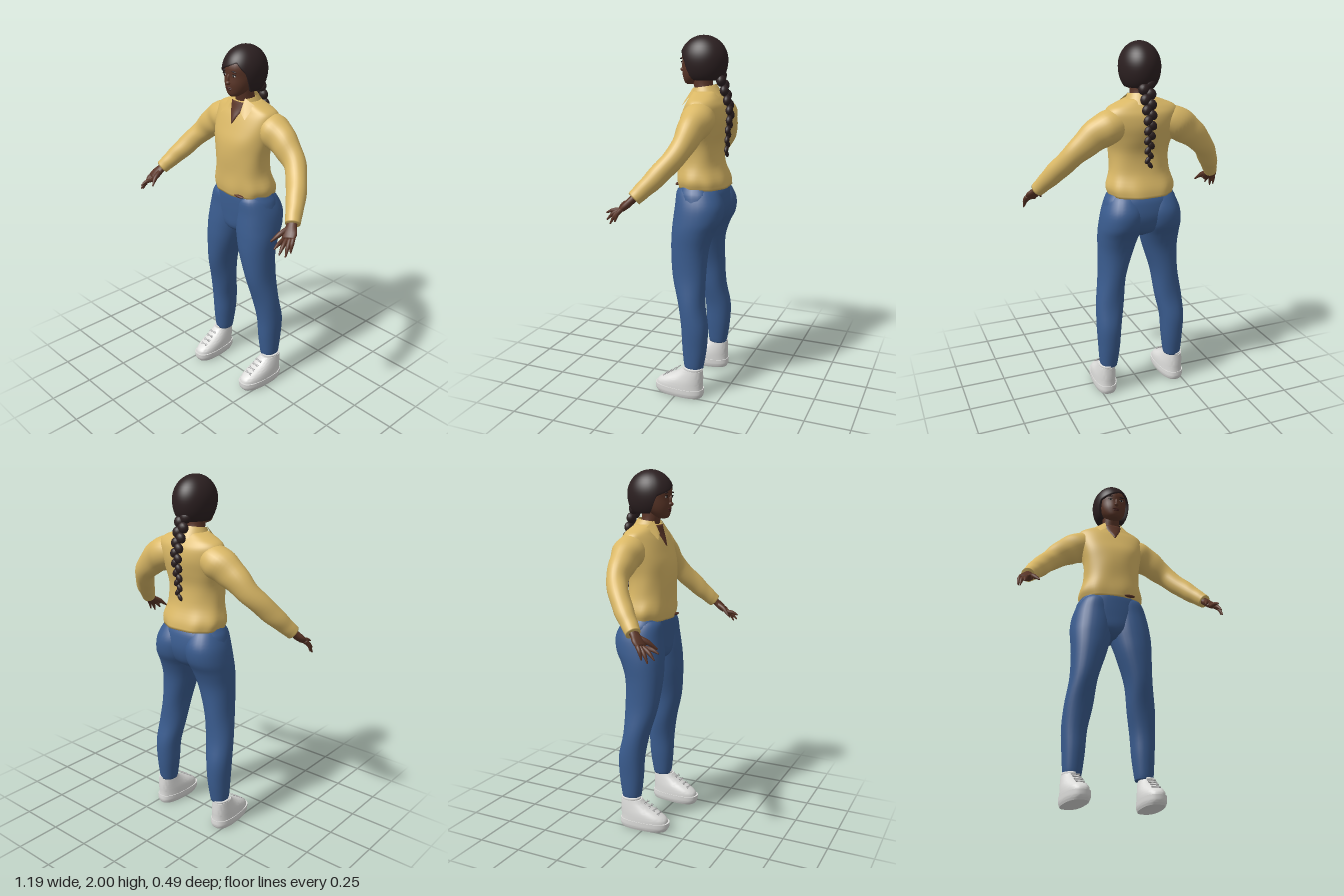
import * as THREE from 'three';
import { toCreasedNormals } from 'three/addons/utils/BufferGeometryUtils.js';

const mat = (name, color, side = THREE.FrontSide) => {
  const m = new THREE.MeshStandardMaterial({ color, side });
  m.name = name;
  return m;
};

// Skin over elliptical sections [x, y, z, radiusU, radiusV]. Without a width
// hint the rings stay level and the sections must run upwards.
function loft(sections, { seg = 28, rows = 4, n = 2, hint = null, wobble = () => 1 } = {}) {
  const curve = (f) => new THREE.CatmullRomCurve3(sections.map(f), false, 'catmullrom', 0.5);
  const path = curve((s) => new THREE.Vector3(s[0], s[1], s[2]));
  const radii = curve((s) => new THREE.Vector3(s[3], s[4], 0));
  const total = (sections.length - 1) * rows, pos = [], idx = [];
  const u = new THREE.Vector3(1, 0, 0), v = new THREE.Vector3(0, 0, 1);
  const pw = (c) => Math.sign(c) * Math.abs(c) ** (2 / n);
  for (let i = 0; i <= total; i++) {
    const p = path.getPoint(i / total), r = radii.getPoint(i / total);
    if (hint) {
      const d = path.getTangent(i / total);
      u.copy(hint).addScaledVector(d, -hint.dot(d)).normalize();
      v.crossVectors(u, d);
    }
    for (let j = 0; j < seg; j++) {
      const a = (j / seg) * Math.PI * 2, w = wobble(a, p.y, i / total);
      const q = p.clone().addScaledVector(u, pw(Math.cos(a)) * r.x * w)
        .addScaledVector(v, pw(Math.sin(a)) * r.y * w);
      pos.push(q.x, q.y, q.z);
      const k = i * seg + j, m = i * seg + ((j + 1) % seg);
      if (i < total) idx.push(k, k + seg, m, m, k + seg, m + seg);
    }
  }
  const c0 = (total + 1) * seg;
  pos.push(...path.getPoint(0).toArray(), ...path.getPoint(1).toArray());
  for (let j = 0; j < seg; j++) {
    const k = (j + 1) % seg, t = total * seg;
    idx.push(c0, j, k, c0 + 1, t + k, t + j);
  }
  return surface(pos, idx);
}

function surface(pos, idx) {
  const g = new THREE.BufferGeometry();
  g.setAttribute('position', new THREE.Float32BufferAttribute(pos, 3));
  g.setIndex(idx);
  g.computeVertexNormals();
  return g;
}

// Hair cap whose lower edge is a swept fringe in front and a bob behind
function hairCap() {
  const A = 96, R = 18, pos = [], idx = [], cy = 1.87, ry = 0.13;
  for (let i = 0; i <= R + 1; i++) {
    for (let j = 0; j < A; j++) {
      const a = (j / A) * Math.PI * 2 - Math.PI;
      const fringe = a < 0.5 ? 1.925 - 0.045 * (0.5 - a) : 1.925 - 0.13 * (a - 0.5);
      const back = THREE.MathUtils.smoothstep(Math.abs(a), 0.9, 1.25);
      const low = THREE.MathUtils.lerp(fringe, 1.768, back);
      const t = Math.acos((low - cy) / ry) * Math.min(i / R, 1);
      const s = Math.sin(t);
      let r = t > Math.PI / 2 ? s ** 0.65 : s;
      if (i > R) r *= THREE.MathUtils.lerp(0.9, 0.3, back);
      pos.push(0.11 * r * Math.sin(a), cy + ry * Math.cos(t) + (i > R ? 0.008 * back : 0),
        -0.07 + 0.132 * r * Math.cos(a));
      const k = i * A + j, m = i * A + ((j + 1) % A);
      if (i <= R) idx.push(k, k + A, m, m, k + A, m + A);
    }
  }
  return surface(pos, idx);
}

export function createModel() {
  const model = new THREE.Group();
  const skin = mat('brown skin', 0x5a3527), hair = mat('dark hair', 0x2c2021, THREE.DoubleSide);
  const shirt = mat('yellow shirt', 0xdab866, THREE.DoubleSide);
  const jeans = mat('blue jeans', 0x3a5c8f), white = mat('shoe white', 0xdcdcda);
  const lace = mat('lace grey', 0xb4b4b4), lip = mat('lip brown', 0x47231f);
  const eyeWhite = mat('eye white', 0xb9aca4), dark = mat('near black', 0x140d0c);
  const add = (name, geo, material, parent = model) => {
    const m = new THREE.Mesh(geo, material);
    m.name = name;
    parent.add(m);
    return m;
  };
  const ball = (name, material, p, s, rz = 0) => {
    const m = add(name, new THREE.SphereGeometry(1, 16, 12), material);
    m.position.set(...p);
    m.scale.set(...s);
    m.rotation.z = rz;
  };

  // Shirt body with a rumpled hem that flares out behind
  add('shirtBody', loft([
    [0, 1.19, -0.08, 0.176, 0.132], [0, 1.24, -0.073, 0.189, 0.132], [0, 1.32, -0.06, 0.167, 0.12],
    [0, 1.42, -0.055, 0.166, 0.119], [0, 1.5, -0.067, 0.182, 0.125], [0, 1.57, -0.085, 0.2, 0.12],
    [0, 1.63, -0.095, 0.202, 0.106], [0, 1.665, -0.095, 0.187, 0.088], [0, 1.69, -0.09, 0.135, 0.075],
    [0, 1.71, -0.085, 0.08, 0.065]], {
    seg: 64, n: 2.3,
    wobble: (a, y) => {
      const low = 1 - THREE.MathUtils.smoothstep(y, 1.19, 1.33), behind = Math.max(0, -Math.sin(a));
      return 1 + low * (0.02 * Math.sin(9 * a + 1) + 0.07 * behind ** 4)
        + 0.008 * Math.sin(5 * a + 22 * y) * (1 - low);
    },
  }), shirt);
  ball('bareWaist', skin, [0.078, 1.203, 0.047], [0.036, 0.008, 0.012]);

  // Collar band, folded collar points and open neckline
  const band = add('collarBand', new THREE.CylinderGeometry(0.066, 0.094, 0.062, 28, 1, true, 0.75, Math.PI * 2 - 1.5), shirt);
  band.position.set(0, 1.702, -0.08);
  band.rotation.x = 0.15;
  for (const s of [1, -1]) {
    add('collarPoint', surface([s * 0.045, 1.73, -0.028, s * 0.1, 1.698, -0.045,
      s * 0.094, 1.632, 0.022, s * 0.05, 1.664, 0.01], [0, 2, 1, 0, 3, 2]), shirt);
  }
  add('neckline', loft([[0, 1.595, 0.022, 0.003, 0.009], [0, 1.63, 0.006, 0.023, 0.013],
    [0, 1.665, -0.013, 0.042, 0.016], [0, 1.705, -0.028, 0.052, 0.018]]), skin);

  // Neck and head
  add('neck', loft([[0, 1.62, -0.085, 0.06, 0.055], [0, 1.7, -0.077, 0.055, 0.053],
    [0, 1.75, -0.065, 0.051, 0.053], [0, 1.82, -0.06, 0.055, 0.06]]), skin);
  add('head', loft([[0, 1.742, 0.005, 0.022, 0.024], [0, 1.755, -0.003, 0.043, 0.043],
    [0, 1.78, -0.02, 0.063, 0.066], [0, 1.81, -0.035, 0.076, 0.085], [0, 1.85, -0.05, 0.085, 0.098],
    [0, 1.9, -0.06, 0.088, 0.11], [0, 1.95, -0.07, 0.07, 0.092], [0, 1.975, -0.07, 0.035, 0.05]]), skin);
  ball('nose', skin, [0, 1.818, 0.05], [0.014, 0.012, 0.016]);
  ball('noseBridge', skin, [0, 1.838, 0.046], [0.008, 0.026, 0.012]);
  ball('upperLip', lip, [0, 1.791, 0.045], [0.022, 0.005, 0.006]);
  ball('lowerLip', lip, [0, 1.783, 0.044], [0.018, 0.006, 0.006]);
  for (const s of [1, -1]) {
    ball('eye', eyeWhite, [s * 0.034, 1.856, 0.041], [0.014, 0.006, 0.005]);
    ball('iris', dark, [s * 0.034, 1.856, 0.044], [0.006, 0.006, 0.004]);
    ball('eyelid', dark, [s * 0.035, 1.862, 0.042], [0.016, 0.0025, 0.005], -s * 0.1);
    ball('eyebrow', hair, [s * 0.036, 1.879, 0.044], [0.019, 0.004, 0.005], -s * 0.12);
  }

  // Hair and plaited braid
  add('hair', hairCap(), hair);
  const braid = new THREE.CatmullRomCurve3([[0, 1.79, -0.165], [0, 1.68, -0.203], [0, 1.6, -0.222],
    [0, 1.5, -0.212], [0, 1.37, -0.203]].map((p) => new THREE.Vector3(...p)));
  const knots = 17;
  for (let i = 0; i < knots; i++) {
    const f = i / (knots - 1), p = braid.getPointAt(f), s = i % 2 ? 1 : -1, w = 0.032 - 0.02 * f;
    ball('braidStrand', hair, [s * w * 0.55, p.y, p.z], [w, 0.032 - 0.01 * f, w * 0.85], s * 0.6);
  }

  for (const s of [1, -1]) {
    // Sleeve and cuff button
    add('sleeve', loft([[s * 0.09, 1.59, -0.1, 0.066, 0.07], [s * 0.18, 1.57, -0.105, 0.09, 0.09],
      [s * 0.27, 1.52, -0.098, 0.07, 0.083], [s * 0.37, 1.432, -0.078, 0.056, 0.062],
      [s * 0.455, 1.322, 0.002, 0.052, 0.055], [s * 0.503, 1.25, 0.066, 0.044, 0.044],
      [s * 0.528, 1.212, 0.1, 0.039, 0.039]], {
      rows: 7, hint: new THREE.Vector3(0, 0, 1),
      wobble: (a, y, t) => 1 + 0.025 * Math.sin(38 * t + 2 * Math.sin(a)) * Math.sin(Math.PI * t),
    }), shirt);
    ball('cuffButton', dark, [s * 0.492, 1.236, 0.106], [0.007, 0.007, 0.007]);

    // Hand: palm, four fingers and thumb
    const across = new THREE.Vector3(s * 0.85, 0.32, -0.42);
    const palmEnd = new THREE.Vector3(s * 0.553, 1.157, 0.157);
    add('palm', loft([[s * 0.515, 1.232, 0.083, 0.026, 0.022], [s * 0.53, 1.203, 0.112, 0.03, 0.02],
      [s * 0.543, 1.178, 0.136, 0.041, 0.019], [...palmEnd.toArray(), 0.037, 0.014]],
    { seg: 16, hint: across }), skin);
    const finger = (name, from, tip, r) => {
      const mid = from.clone().lerp(tip, 0.5).add(new THREE.Vector3(s * 0.003, 0.006, 0.004));
      add(name, loft([[...from.toArray(), r, r], [...mid.toArray(), r * 0.9, r * 0.9],
        [...tip.toArray(), r * 0.3, r * 0.3]], { seg: 10, hint: across }), skin);
    };
    [[0.545, 1.13, 0.248], [0.566, 1.1, 0.235], [0.585, 1.085, 0.208], [0.591, 1.1, 0.178]].forEach((t, i) => {
      finger('finger', palmEnd.clone().addScaledVector(across, -0.026 + i * 0.0175),
        new THREE.Vector3(s * t[0], t[1], t[2]), 0.012);
    });
    finger('thumb', new THREE.Vector3(s * 0.523, 1.195, 0.12), new THREE.Vector3(s * 0.483, 1.135, 0.21), 0.015);

    // Trouser leg, including the seat
    add('trouserLeg', loft([[s * 0.2, 0.168, -0.095, 0.047, 0.052], [s * 0.2, 0.2, -0.095, 0.053, 0.058],
      [s * 0.197, 0.3, -0.097, 0.062, 0.07], [s * 0.195, 0.42, -0.095, 0.07, 0.075],
      [s * 0.18, 0.55, -0.072, 0.079, 0.074], [s * 0.16, 0.7, -0.05, 0.077, 0.094],
      [s * 0.135, 0.85, -0.045, 0.098, 0.105], [s * 0.122, 0.95, -0.06, 0.114, 0.12],
      [s * 0.112, 1.02, -0.08, 0.121, 0.136], [s * 0.104, 1.1, -0.088, 0.116, 0.136],
      [s * 0.097, 1.17, -0.075, 0.095, 0.118], [s * 0.09, 1.205, -0.07, 0.075, 0.09]], { n: 2.15 }), jeans);

    // Shoe: sole, upper, sock rim and laces, toes turned slightly inwards
    const shoe = new THREE.Group();
    shoe.name = 'shoe';
    shoe.position.x = s * 0.207;
    shoe.rotation.y = -s * 0.06;
    model.add(shoe);
    add('sole', toCreasedNormals(loft([[0, 0, -0.012, 0.058, 0.136], [0, 0.02, -0.01, 0.065, 0.146],
      [0, 0.05, -0.008, 0.066, 0.147]], { n: 2.6, seg: 40 }), 0.7), white, shoe);
    add('shoeUpper', toCreasedNormals(loft([[0, 0.04, -0.01, 0.063, 0.142], [0, 0.07, -0.014, 0.062, 0.137],
      [0, 0.095, -0.033, 0.059, 0.119], [0, 0.12, -0.06, 0.054, 0.092], [0, 0.145, -0.08, 0.049, 0.071],
      [0, 0.165, -0.09, 0.045, 0.06]], { n: 2.4, seg: 40 }), 0.7), white, shoe);
    add('sockRim', loft([[0, 0.15, -0.092, 0.042, 0.054], [0, 0.178, -0.094, 0.046, 0.056]]), white, shoe);
    for (let i = 0; i < 4; i++) {
      for (const d of [1, -1]) {
        const bar = add('lace', new THREE.CapsuleGeometry(0.003, 0.045, 3, 8), lace, shoe);
        bar.position.set(0, 0.1 + i * 0.018, 0.08 - i * 0.026);
        bar.rotation.set(-0.9, 0, Math.PI / 2 + d * 0.22);
      }
    }
  }

  // Hips joining the legs under the shirt
  add('hips', loft([[0, 0.95, -0.062, 0.025, 0.06], [0, 0.99, -0.072, 0.13, 0.112], [0, 1.07, -0.083, 0.21, 0.131],
    [0, 1.15, -0.079, 0.205, 0.13], [0, 1.19, -0.072, 0.186, 0.122], [0, 1.22, -0.068, 0.165, 0.11]], { n: 2.2 }), jeans);

  return model;
}
